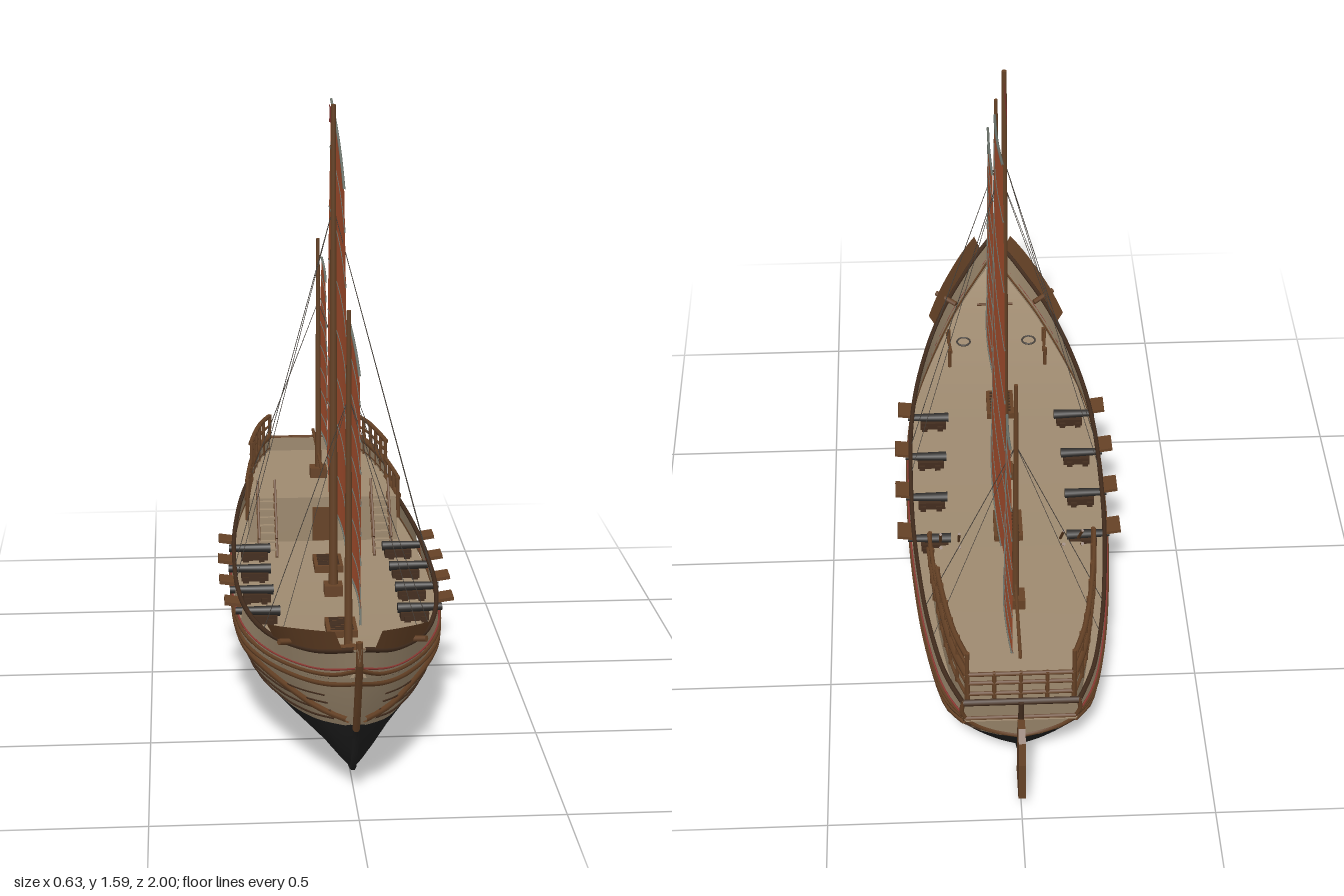
import * as THREE from 'three';

const V = (x, y, z) => new THREE.Vector3(x, y, z);
const mat = (name, color, double) => {
  const m = new THREE.MeshStandardMaterial({ color });
  m.name = name;
  if (double) m.side = THREE.DoubleSide;
  return m;
};
// smooth interpolation through [position, value] pairs in rising order
const table = (pts) => (x) => {
  const n = pts.length - 1;
  let i = 0;
  while (i < n - 1 && x > pts[i + 1][0]) i++;
  const slope = (k) => {
    const a = pts[Math.max(k - 1, 0)], b = pts[Math.min(k + 1, n)];
    return (b[1] - a[1]) / (b[0] - a[0]);
  };
  const [x0, y0] = pts[i], [x1, y1] = pts[i + 1], h = x1 - x0;
  const t = Math.min(1, Math.max(0, (x - x0) / h)), t2 = t * t, t3 = t2 * t;
  return (2 * t3 - 3 * t2 + 1) * y0 + (t3 - 2 * t2 + t) * h * slope(i) + (3 * t2 - 2 * t3) * y1 + (t3 - t2) * h * slope(i + 1);
};
// surface from a rule point(u, v)
const grid = (point, nu, nv) => {
  const pos = [], idx = [];
  for (let i = 0; i <= nu; i++) for (let j = 0; j <= nv; j++) pos.push(...point(i / nu, j / nv).toArray());
  for (let i = 0; i < nu; i++) for (let j = 0; j < nv; j++) {
    const a = i * (nv + 1) + j, b = a + nv + 1;
    idx.push(a, b, a + 1, b, b + 1, a + 1);
  }
  const g = new THREE.BufferGeometry();
  g.setAttribute('position', new THREE.Float32BufferAttribute(pos, 3));
  g.setIndex(idx);
  g.computeVertexNormals();
  return g;
};
const { lerp, smoothstep } = THREE.MathUtils;

// hull lines along z
const beam = table([[-0.915, 0.15], [-0.8, 0.195], [-0.6, 0.235], [-0.4, 0.258], [-0.2, 0.272], [0, 0.276], [0.2, 0.273], [0.4, 0.253], [0.6, 0.208], [0.75, 0.155], [0.87, 0.095], [0.95, 0.045], [1, 0.004]]);
const keel = table([[-0.915, 0.19], [-0.87, 0.13], [-0.8, 0.06], [-0.7, 0.03], [-0.55, 0.016], [-0.3, 0.01], [0, 0.01], [0.5, 0.012], [0.68, 0.025], [0.8, 0.05], [0.865, 0.135], [0.925, 0.24], [0.97, 0.335], [1, 0.4]]);
const sheer = table([[-0.915, 0.348], [-0.7, 0.333], [-0.4, 0.322], [0, 0.317], [0.4, 0.322], [0.6, 0.337], [0.8, 0.37], [0.9, 0.395], [1, 0.435]]);
const water = table([[-0.915, 0.17], [-0.7, 0.142], [0, 0.125], [0.6, 0.14], [0.9, 0.2], [1, 0.22]]);
const section = table([[0, 0], [0.08, 0.27], [0.25, 0.62], [0.45, 0.86], [0.66, 0.97], [0.78, 1], [1, 0.965]]);
const deckY = (z) => Math.max(keel(z), sheer(z) - 0.07);
// point on the shell; sections turn V-shaped towards the bow
const hullPoint = (z, y, side = 1, out = 0) => {
  const u = (y - keel(z)) / (sheer(z) - keel(z));
  const rake = 0.03 * (1 - u) * smoothstep(-z, 0.75, 0.915);
  return V(side * (beam(z) * lerp(section(u), u, 0.6 * smoothstep(z, 0.35, 0.9)) + out), y, z + rake);
};

export function createModel() {
  const root = new THREE.Group();
  root.name = 'sailingShip';
  const M = {
    hull: mat('hull timber', 0x9d896e, true), deck: mat('deck planks', 0x9e8a70, true),
    tar: mat('black tar', 0x1e1e1e, true), wood: mat('brown wood', 0x664226, true),
    dark: mat('dark wood', 0x432d1e), sail: mat('rust sailcloth', 0xb45632, true),
    batten: mat('grey batten', 0x6f766e), iron: mat('black iron', 0x2f2d2b),
    rope: mat('rope', 0x4a443e), red: mat('red paint', 0x933c36, true),
  };
  const add = (name, geo, m, x = 0, y = 0, z = 0) => {
    const o = new THREE.Mesh(geo, m);
    o.name = name;
    o.position.set(x, y, z);
    root.add(o);
    return o;
  };
  const box = (name, m, w, h, d, x, y, z) => add(name, new THREE.BoxGeometry(w, h, d), m, x, y, z);
  const rod = (name, m, a, b, r, r2 = r, sides = 6) => {
    const o = add(name, new THREE.CylinderGeometry(r2, r, a.distanceTo(b), sides), m);
    o.position.copy(a).lerp(b, 0.5);
    o.quaternion.setFromUnitVectors(V(0, 1, 0), b.clone().sub(a).normalize());
    return o;
  };
  const tube = (name, m, pts, r) => add(name, new THREE.TubeGeometry(new THREE.CatmullRomCurve3(pts), pts.length * 2, r, 6), m);
  const along = (z0, z1, n, f) => Array.from({ length: n + 1 }, (_, i) => f(lerp(z0, z1, i / n)));

  const ports = [0.3, 0.125, -0.052, -0.227], stern = -0.915, poopZ = -0.38, quarterZ = -0.58, poopEnd = -0.893, poopY = 0.385;
  const poopX = (z) => hullPoint(z, sheer(z)).x * 0.87;

  for (const s of [1, -1]) {
    // hull shell: tarred bottom, planked topsides, bulwark with gun ports
    const wl = (z) => Math.max(keel(z), water(z));
    const patch = (z0, z1, low, high, n, k) => grid((u, v) => {
      const z = lerp(z0, z1, u);
      return hullPoint(z, lerp(low(z), high(z), v), s);
    }, n, k);
    add('hullBottom', patch(0.91, stern, keel, wl, 60, 10), M.tar);
    add('hullTopsides', patch(1, stern, wl, deckY, 60, 8), M.hull);
    const cuts = [1, ...ports.flatMap((p) => [p + 0.03, p - 0.03]), stern];
    for (let i = 0; i < cuts.length; i += 2) add('bulwark', patch(cuts[i], cuts[i + 1], deckY, sheer, 16, 1), M.hull);

    // rails, wales and plank seams
    const strake = (name, m, z0, z1, y, r) => tube(name, m, along(z0, z1, 30, (z) => hullPoint(z, Math.max(keel(z), y(z)), s, 0.002)), r);
    strake('capRail', M.dark, 0.995, stern, sheer, 0.0065);
    strake('upperWale', M.wood, 0.99, stern, (z) => sheer(z) - 0.06, 0.005);
    strake('redStripe', M.red, 0.985, stern, (z) => sheer(z) - 0.047, 0.0025);
    strake('middleWale', M.wood, 0.97, stern, (z) => sheer(z) - 0.085, 0.006);
    strake('lowerWale', M.wood, 0.9, -0.87, () => 0.219, 0.009);
    for (const h of [0.015, 0.035, 0.055, 0.075]) strake('plankSeam', M.dark, 0.86, -0.87, (z) => water(z) + h, 0.0028 - h * 0.01);

    // raised washboard at the bow
    add('bowWashboard', grid((u, v) => {
      const z = lerp(0.965, 0.67, u), p = hullPoint(z, sheer(z), s, 0.005 + 0.018 * v);
      p.y = lerp(p.y, lerp(0.467, 0.382, u), v);
      return p;
    }, 12, 1), M.wood);

    // guns with carriages and open port lids
    for (const z of ports) {
      const x = beam(z), y = deckY(z);
      rod('cannon', M.iron, V(s * (x - 0.11), y + 0.034, z), V(s * (x + 0.008), y + 0.036, z), 0.014, 0.01, 10);
      box('gunCarriage', M.dark, 0.075, 0.022, 0.036, s * (x - 0.065), y + 0.014, z);
      for (const dx of [0.04, 0.085]) box('carriageWheels', M.dark, 0.016, 0.016, 0.048, s * (x - dx), y + 0.008, z);
      const lid = box('portLid', M.wood, 0.045, 0.009, 0.06, s * (x + 0.014), sheer(z) - 0.006, z);
      lid.rotation.z = s * 0.15;
    }

    // poop side wall, framed into panels towards the stern
    const side = (z, y, out = 0) => V(s * (poopX(z) + out), y, z);
    const wall = (name, z0, z1, y0, y1) => add(name, grid((u, v) => {
      const z = lerp(z0, z1, u);
      return side(z, lerp(y0, y1, v));
    }, 12, 1), M.hull);
    wall('poopWall', poopZ, quarterZ, 0.25, poopY);
    wall('quarterWall', quarterZ, poopEnd, 0.25, 0.425);
    const rail = (z0, z1, y, r) => tube('poopRail', M.wood, along(z0, z1, 8, (z) => side(z, y, 0.003)), r);
    rail(poopZ, quarterZ, poopY, 0.009);
    rail(poopZ, quarterZ, 0.438, 0.006);
    rail(quarterZ, poopEnd, 0.352, 0.005);
    rail(quarterZ, poopEnd, 0.393, 0.004);
    rail(quarterZ, poopEnd, 0.428, 0.01);
    rail(quarterZ, poopEnd, 0.462, 0.004);
    rail(quarterZ, poopEnd, 0.494, 0.007);
    for (const z of [poopZ, -0.445, -0.51]) rod('poopRailPost', M.wood, side(z, 0.32, 0.003), side(z, 0.442), 0.006);
    for (let i = 0; i <= 5; i++) {
      const z = lerp(quarterZ, poopEnd, i / 5);
      rod('quarterPost', M.wood, side(z, 0.34, 0.003), side(z, 0.499), 0.006);
    }

    // ladder to the poop
    for (const dx of [-0.025, 0.025]) {
      rod('ladderSide', M.wood, V(s * 0.165 + dx, 0.25, -0.24), V(s * 0.165 + dx, 0.395, -0.39), 0.005);
      rod('ladderHandrail', M.wood, V(s * 0.165 + dx, 0.3, -0.26), V(s * 0.165 + dx, 0.438, -0.385), 0.004);
    }
    for (let i = 1; i < 8; i++) box('ladderStep', M.deck, 0.05, 0.005, 0.014, s * 0.165, 0.25 + i * 0.018, -0.24 - i * 0.0185);

    // bow fittings: catheads, pin rails, rope coils
    rod('cathead', M.wood, V(s * 0.12, 0.365, 0.75), V(s * 0.18, 0.38, 0.79), 0.008);
    rod('pinRail', M.wood, V(s * 0.14, 0.315, 0.57), V(s * 0.15, 0.315, 0.67), 0.005);
    for (const z of [0.57, 0.67]) rod('pinRailPost', M.wood, V(s * 0.145, 0.26, z), V(s * 0.145, 0.325, z), 0.006);
    const coil = add('ropeCoil', new THREE.TorusGeometry(0.02, 0.003, 6, 16), M.rope, s * 0.1, deckY(0.67) + 0.003, 0.67);
    coil.rotation.x = Math.PI / 2;

    // shrouds
    for (const [z, top] of [[0.075, 1.32], [0.635, 0.95], [-0.6, 0.92]]) {
      for (const dz of [-0.06, 0.06]) rod('shroud', M.rope, V(0, top, z), hullPoint(z + dz, sheer(z + dz), s), 0.001, 0.001, 4);
    }
    // frame along the transom edge
    tube('transomFrame', M.wood, along(keel(stern), sheer(stern), 8, (y) => hullPoint(stern, y, s)), 0.006);
  }

  // keel and stem
  tube('stem', M.wood, along(0.999, 0.9, 6, (z) => V(0, keel(z), z)), 0.009);
  rod('stemHead', M.wood, V(0, 0.39, 0.99), V(0, 0.45, 0.992), 0.009);
  tube('keel', M.tar, along(0.9, -0.85, 20, (z) => V(0, keel(z), z)), 0.008);

  // decks
  const span = (f, z0, z1, y) => grid((u, v) => {
    const z = lerp(z0, z1, u);
    return V(lerp(-1, 1, v) * f(z), y(z), z);
  }, 40, 2);
  add('mainDeck', span((z) => hullPoint(z, deckY(z)).x, 0.97, stern, deckY), M.deck);
  add('poopDeck', span(poopX, poopZ, poopEnd, () => poopY), M.deck);
  box('poopBulkhead', M.hull, poopX(poopZ) * 2, 0.135, 0.008, 0, 0.317, poopZ - 0.004);
  box('poopDoor', M.wood, 0.06, 0.1, 0.008, 0, 0.305, poopZ + 0.003);

  // transom, stern gallery panels and rudder
  add('transom', grid((u, v) => {
    const p = hullPoint(stern, lerp(keel(stern), sheer(stern), v));
    p.x *= lerp(-1, 1, u);
    return p;
  }, 8, 10), M.hull);
  const sx = poopX(poopEnd);
  box('sternWall', M.hull, sx * 2, 0.1, 0.008, 0, 0.375, poopEnd + 0.004);
  for (const y of [0.358, 0.395, 0.425]) rod('sternFrame', M.wood, V(-sx, y, poopEnd - 0.002), V(sx, y, poopEnd - 0.002), 0.006);
  for (let i = -2; i <= 2; i++) rod('sternFramePost', M.wood, V(i * sx / 2, 0.34, poopEnd - 0.002), V(i * sx / 2, 0.43, poopEnd - 0.002), 0.006);
  rod('sternSill', M.dark, V(-0.145, 0.346, stern), V(0.145, 0.346, stern), 0.009);
  rod('transomBeam', M.wood, V(-0.14, 0.28, -0.905), V(0.14, 0.28, -0.905), 0.006);
  const blade = new THREE.Shape([[0.885, 0.06], [0.97, 0.055], [0.995, 0.075], [0.998, 0.2], [0.985, 0.265], [0.955, 0.288], [0.92, 0.285], [0.905, 0.25]].map((p) => new THREE.Vector2(...p)));
  add('rudder', new THREE.ExtrudeGeometry(blade, { depth: 0.018, bevelEnabled: false }), M.wood, -0.009).rotation.y = Math.PI / 2;
  rod('rudderStock', M.dark, V(0, 0.2, -0.898), V(0, 0.35, -0.922), 0.008);

  // hatches and capstan
  for (const z of [-0.155, 0.38]) {
    const y = deckY(z);
    box('hatchCoaming', M.wood, 0.08, 0.02, 0.11, 0, y + 0.01, z);
    for (let i = -3; i <= 3; i++) box('hatchGrating', M.dark, 0.06, 0.004, 0.005, 0, y + 0.021, z + i * 0.014);
  }
  const cy = deckY(0.77);
  add('capstan', new THREE.CylinderGeometry(0.025, 0.02, 0.06, 12), M.wood, 0, cy + 0.03, 0.77);
  for (const [dx, dz] of [[0.055, 0], [0, 0.055]]) rod('capstanBar', M.wood, V(-dx, cy + 0.052, 0.77 - dz), V(dx, cy + 0.052, 0.77 + dz), 0.004);

  // masts with battened sails; edges are [z, y] points from foot to head
  const rigs = [
    { name: 'main', z: 0.075, top: 1.59, r: 0.013, belly: 0.02, luff: [[0.292, 0.37], [0.303, 0.62], [0.293, 0.89], [0.26, 1.14], [0.195, 1.385]], leech: [[-0.435, 0.37], [-0.465, 0.65], [-0.452, 0.93], [-0.4, 1.24], [-0.312, 1.555]] },
    { name: 'fore', z: 0.635, top: 1.165, r: 0.011, belly: 0.012, luff: [[0.763, 0.405], [0.768, 0.56], [0.767, 0.71], [0.75, 0.865], [0.718, 1.02]], leech: [[0.335, 0.405], [0.313, 0.57], [0.312, 0.74], [0.332, 0.91], [0.37, 1.08]] },
    { name: 'mizzen', z: -0.6, top: 1.11, r: 0.01, belly: 0.012, luff: [[-0.49, 0.45], [-0.49, 0.585], [-0.498, 0.72], [-0.522, 0.855], [-0.56, 0.985]], leech: [[-0.862, 0.46], [-0.868, 0.59], [-0.85, 0.735], [-0.808, 0.885], [-0.745, 1.025]] },
  ];
  for (const { name, z, top, r, belly, luff, leech } of rigs) {
    const foot = z < poopZ ? poopY : deckY(z);
    rod(name + 'Mast', M.wood, V(0, foot, z), V(0, top, z), r, r * 0.5, 10);
    box(name + 'MastStep', M.wood, 0.05, 0.03, 0.05, 0, foot + 0.015, z);
    const edge = (pts) => new THREE.SplineCurve(pts.map((p) => new THREE.Vector2(...p)));
    const a = edge(luff), b = edge(leech);
    const at = (t, s) => {
      const p = a.getPoint(t).lerp(b.getPoint(t), s);
      return V(0.02 + belly * Math.sin(Math.PI * s) * (1 - t * 0.8), p.y, p.x);
    };
    add(name + 'Sail', grid(at, 24, 16), M.sail);
    for (let i = 0; i <= 8; i++) {
      const end = i === 0 || i === 8;
      tube(name + (end ? 'Spar' : 'Batten'), M.batten, along(0, 1, 8, (s) => at(i / 8, s)), end ? 0.0035 : 0.002);
    }
  }
  rod('mizzenBoom', M.wood, V(0, 0.455, -0.4), V(0, 0.455, -0.87), 0.005);

  // swallowtail flag
  const flag = new THREE.Shape([[0, 0], [0.08, 0.005], [0.175, -0.004], [0.145, 0.021], [0.17, 0.044], [0.08, 0.046], [0, 0.05]].map((p) => new THREE.Vector2(...p)));
  add('flag', new THREE.ShapeGeometry(flag), M.red, 0, 1.525, 0.075).rotation.y = Math.PI / 2;
  return root;
}
